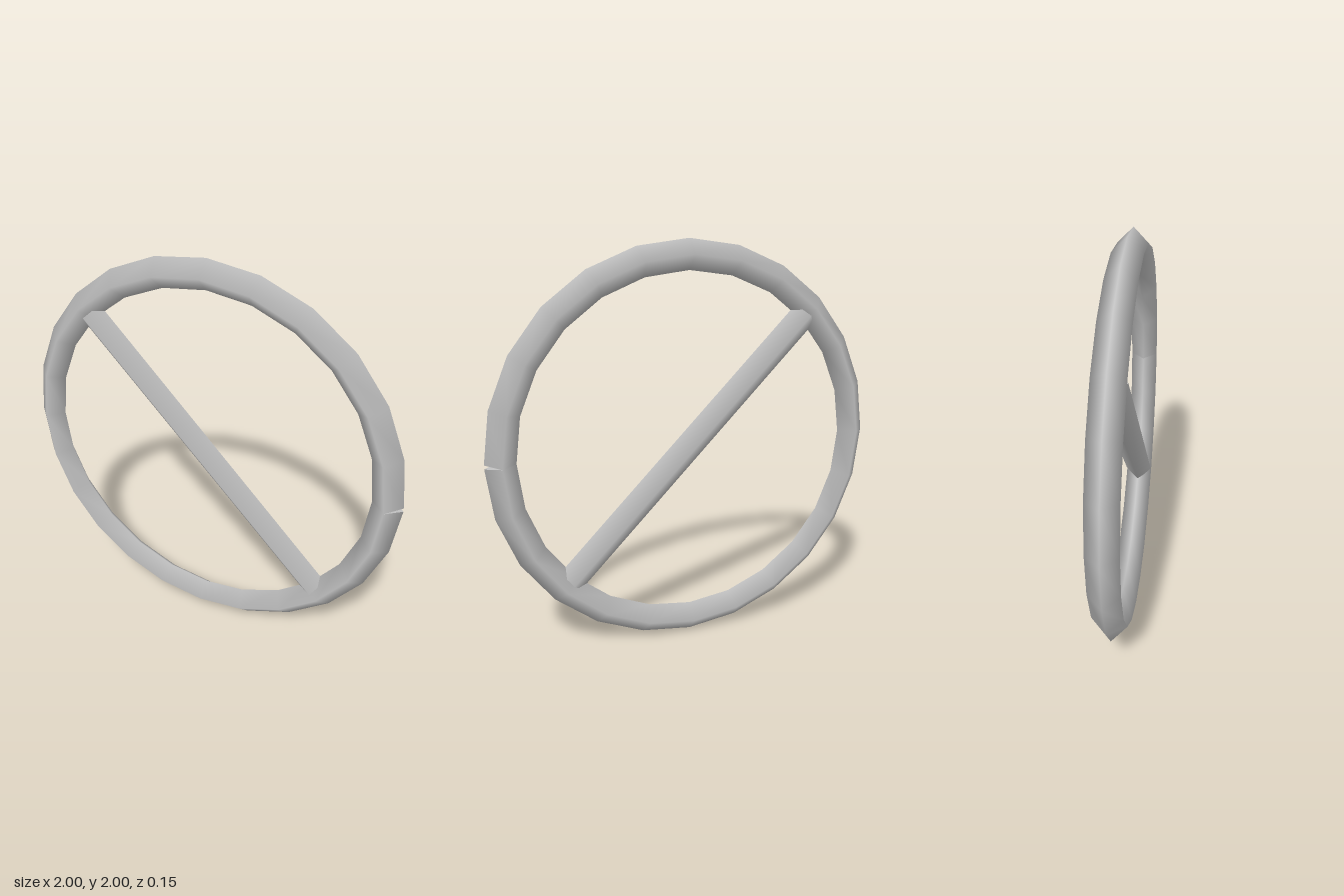
import * as THREE from 'three';

const R = 0.927;               // ring centreline radius
const T = 0.073;               // half thickness of the four-sided rod
const SEGMENTS = 24;
const TILT = Math.PI / SEGMENTS; // end sections stand square to the end chords

// Ring of four-sided rod whose two ends meet in a small wedge-shaped notch
function ringGeometry() {
  const geo = new THREE.TorusGeometry(R, T, 4, SEGMENTS);
  const pos = geo.attributes.position, nor = geo.attributes.normal;
  const axis = new THREE.Vector3(0, 0, 1), v = new THREE.Vector3();
  for (let j = 0; j <= 4; j++) {
    for (const [i, angle] of [[0, TILT], [SEGMENTS, -TILT]]) {
      const k = j * (SEGMENTS + 1) + i;
      v.fromBufferAttribute(pos, k);
      v.x -= R;
      v.applyAxisAngle(axis, angle);
      pos.setXYZ(k, v.x + R, v.y, v.z);
      v.fromBufferAttribute(nor, k).applyAxisAngle(axis, angle);
      nor.setXYZ(k, v.x, v.y, v.z);
    }
  }
  return geo;
}

export function createModel() {
  const group = new THREE.Group();
  const metal = new THREE.MeshStandardMaterial({ color: 0xc0c0c0 });
  metal.name = 'light grey';

  const add = (name, geometry) => {
    const mesh = new THREE.Mesh(geometry, metal);
    mesh.name = name;
    mesh.position.y = 1;
    group.add(mesh);
    return mesh;
  };

  add('ring', ringGeometry());

  // Flat faces closing the two ring ends
  for (const side of [1, -1]) {
    const cap = new THREE.CircleGeometry(T, 4);
    cap.rotateX(side * Math.PI / 2).rotateZ(side * TILT).translate(R, 0, 0);
    add(side > 0 ? 'upperRingEnd' : 'lowerRingEnd', cap);
  }

  // Diagonal bar, sunk into the ring at both ends
  add('diagonalBar', new THREE.CylinderGeometry(T, T, 1.765, 4)).rotation.z = Math.PI / 4;

  return group;
}
